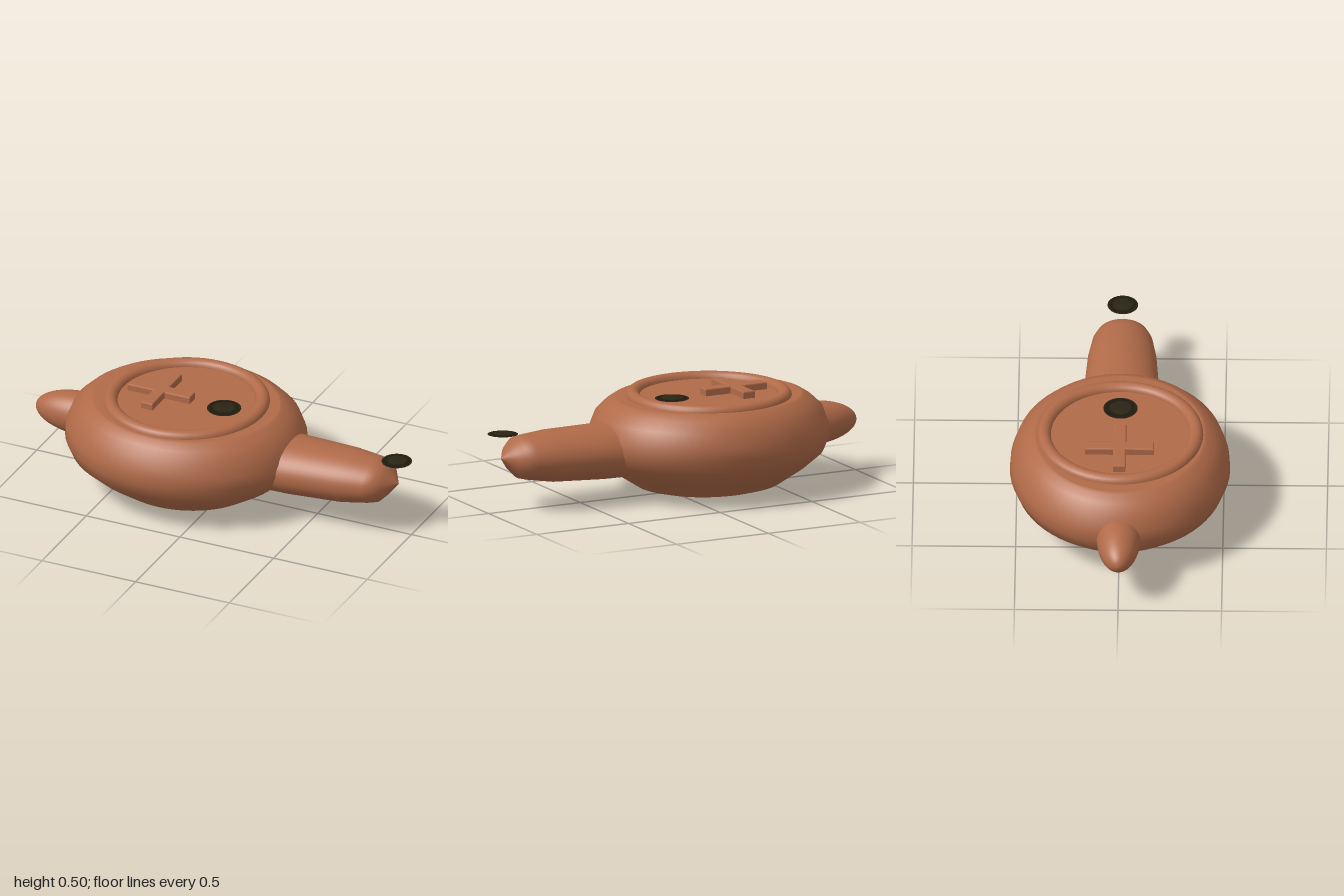
import * as THREE from 'three';

const clay = new THREE.MeshStandardMaterial({ color: 0xb06a48 });
clay.name = 'clay';
const soot = new THREE.MeshStandardMaterial({ color: 0x2a2414 });
soot.name = 'soot';

// Smooth skin over elliptical sections [x, centreY, radiusY, radiusZ] listed along +x
function loft(sections, sides = 48) {
  const pos = [], index = [];
  for (const [x, cy, ry, rz] of sections) {
    for (let j = 0; j < sides; j++) {
      const t = (j / sides) * Math.PI * 2;
      pos.push(x, cy + ry * Math.cos(t), rz * Math.sin(t));
    }
  }
  for (let i = 0; i < sections.length - 1; i++) {
    for (let j = 0; j < sides; j++) {
      const a = i * sides + j, b = i * sides + (j + 1) % sides;
      index.push(a, b, a + sides, b, b + sides, a + sides);
    }
  }
  const g = new THREE.BufferGeometry();
  g.setAttribute('position', new THREE.Float32BufferAttribute(pos, 3));
  g.setIndex(index);
  g.computeVertexNormals();
  return g;
}

// Turned shape from [radius, y] points, bottom to top
function lathe(points, sides = 64) {
  return new THREE.LatheGeometry(points.map(([r, y]) => new THREE.Vector2(r, y)), sides);
}

export function createModel() {
  const model = new THREE.Group();
  model.name = 'oilLamp';

  const add = (name, geometry, material, x = 0, y = 0, z = 0) => {
    const mesh = new THREE.Mesh(geometry, material);
    mesh.name = name;
    mesh.position.set(x, y, z);
    model.add(mesh);
    return mesh;
  };

  // Oval bowl, wider along x than z
  const bowl = add('bowl', lathe([
    [0, 0], [0.13, 0.003], [0.26, 0.012], [0.32, 0.03], [0.43, 0.11], [0.505, 0.18],
    [0.532, 0.25], [0.528, 0.31], [0.502, 0.385], [0.46, 0.43], [0.425, 0.455], [0.41, 0.46],
  ]), clay, -0.2);
  bowl.scale.x = 1.125;

  // Flat top of the bowl
  const deck = add('deck', new THREE.CircleGeometry(0.41, 64).rotateX(-Math.PI / 2), clay, -0.2, 0.46);
  deck.scale.x = 1.125;

  // Raised round rim
  add('rim', new THREE.TorusGeometry(0.368, 0.035, 16, 64).rotateX(Math.PI / 2), clay, -0.2, 0.456);

  // Relief cross on the deck
  const L = 0.16, W = 0.025, bevel = 0.006;
  const cross = new THREE.Shape([
    [-W, -L], [W, -L], [W, -W], [L, -W], [L, W], [W, W],
    [W, L], [-W, L], [-W, W], [-L, W], [-L, -W], [-W, -W],
  ].map(([x, y]) => new THREE.Vector2(x, y)));
  add('cross', new THREE.ExtrudeGeometry(cross, {
    depth: 0.033, bevelSize: bevel, bevelThickness: bevel, bevelSegments: 2,
  }).rotateX(-Math.PI / 2), clay, -0.335, 0.456);

  // Spout with a pointed end
  add('spout', loft([
    [0.2, 0.243, 0.135, 0.188], [0.4, 0.245, 0.134, 0.184], [0.67, 0.252, 0.126, 0.166],
    [0.8, 0.258, 0.109, 0.145], [0.845, 0.26, 0.1, 0.125], [0.88, 0.262, 0.066, 0.092],
    [0.932, 0.264, 0.001, 0.001],
  ]), clay);

  // Rounded handle stub
  const stub = [];
  for (let i = 0; i <= 14; i++) {
    const a = (i / 14) * Math.PI / 2;
    const r = Math.max(0.0005, 0.107 * Math.sin(a));
    stub.push([-0.75 - 0.25 * Math.cos(a), 0.258, r, r]);
  }
  add('handle', loft(stub), clay);

  // Slightly domed dark holes: filling hole and wick hole
  const hole = (r) => lathe([[0, 0], [r, 0], [r * 0.6, 0.005], [0, 0.008]], 32);
  add('fillingHole', hole(0.083), soot, 0, 0.463);
  add('wickHole', hole(0.074), soot, 0.922, 0.386);

  return model;
}
